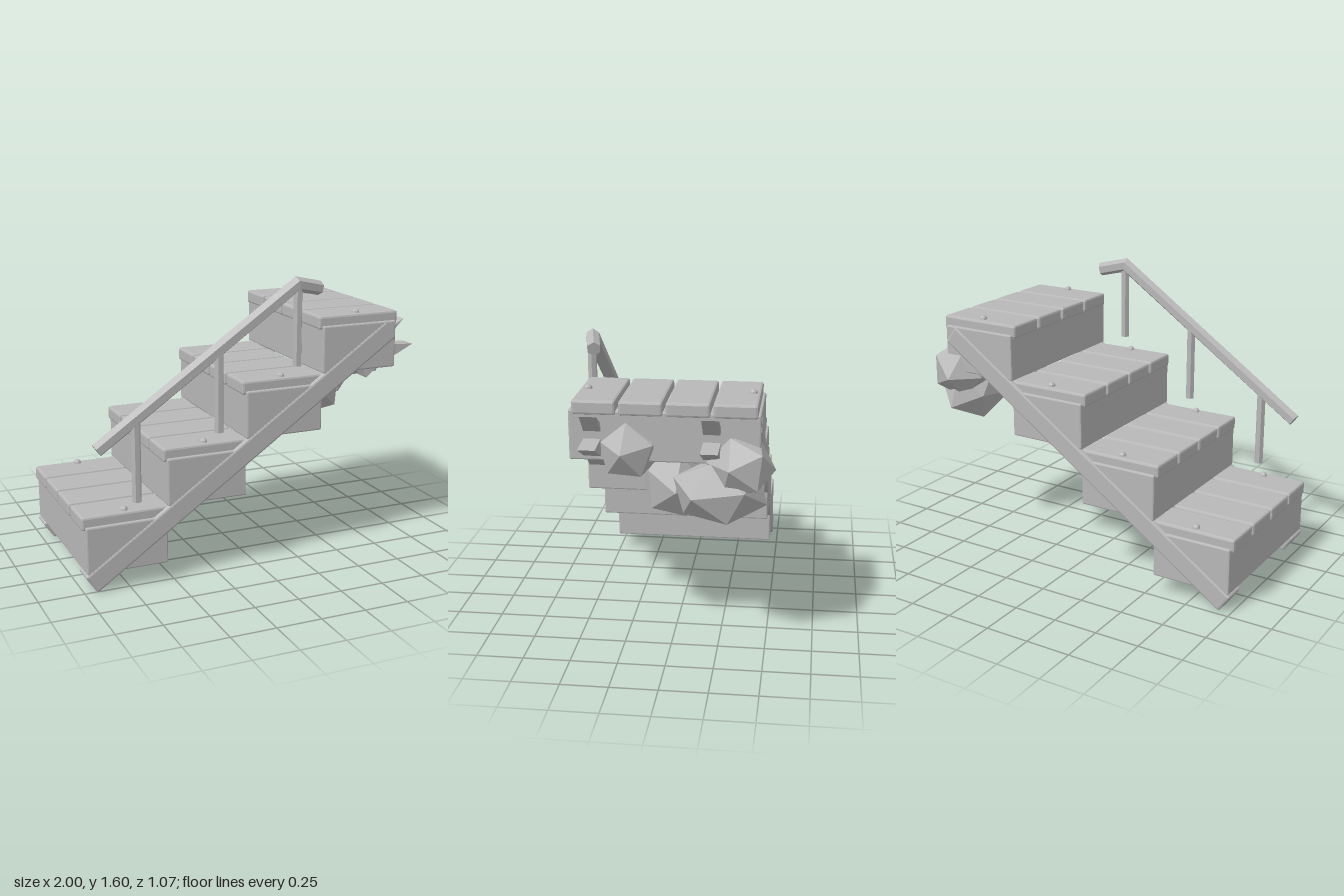
import * as THREE from 'three';
import { RoundedBoxGeometry } from 'three/addons/geometries/RoundedBoxGeometry.js';

export function createModel() {
  const model = new THREE.Group();
  const grey = new THREE.MeshStandardMaterial({ color: 0xb8b8b8 });
  grey.name = 'plainGrey';
  grey.flatShading = true;

  function add(name, geometry, x = 0, y = 0, z = 0) {
    const mesh = new THREE.Mesh(geometry, grey);
    mesh.name = name;
    mesh.position.set(x, y, z);
    model.add(mesh);
    return mesh;
  }
  const block = (w, h, d, r) => new RoundedBoxGeometry(w, h, d, 1, r);

  // Four steps: solid box, four planks on top, two rounded pegs
  const stepBox = block(0.452, 0.262, 0.97, 0.008);
  const plank = block(0.488, 0.074, 0.222, 0.012);
  const peg = new THREE.SphereGeometry(0.023, 8, 6);
  for (let i = 0; i < 4; i++) {
    const x = -0.757 + i * 0.455, y = i * 0.317;
    add('stepBox', stepBox, x, y + 0.234, 0.02);
    for (let j = 0; j < 4; j++) add('treadPlank', plank, x, y + 0.381, -0.339 + j * 0.238);
    for (const z of [-0.41, 0.443]) add('peg', peg, x, y + 0.417, z);
  }

  // Sloping side beams
  const slope = Math.atan2(1.22, 1.76);
  for (const z of [-0.401, 0.441]) {
    const beam = add('stringer', block(2.146, 0.117, 0.138, 0.012), -0.08, 0.657, z);
    beam.rotation.z = slope;
  }

  // Handrail: six-sided bar swept through a bend with a mitred corner
  const path = [[-0.911, 0.776, 0.492], [0.218, 1.558, 0.492], [0.372, 1.522, 0.457]]
    .map(p => new THREE.Vector3(...p));
  add('handrail', sweep(path, 0.039, 6));

  // Handrail posts
  for (const [x, bottom, top] of [[-0.7, 0.472, 0.91], [-0.232, 0.795, 1.23], [0.224, 1.115, 1.545]]) {
    const post = new THREE.CylinderGeometry(0.026, 0.026, top - bottom, 6).rotateY(Math.PI / 6);
    add('railPost', post, x, (bottom + top) / 2, 0.496);
  }

  // Pointed bracket ends behind and under the top step
  const wedges = [
    [[0.78, 1.22], [0.78, 1.15], [0.93, 1.307]],
    [[0.8, 1.17], [0.8, 1.06], [0.995, 1.155]],
    [[0.66, 1.075], [0.7, 0.985], [0.81, 1.075]],
  ];
  for (const z of [-0.264, 0.341]) {
    for (const points of wedges) {
      const shape = new THREE.Shape(points.map(p => new THREE.Vector2(...p)));
      add('bracketEnd', new THREE.ExtrudeGeometry(shape, { depth: 0.088, bevelEnabled: false }), 0, 0, z);
    }
  }

  // Faceted rocks under the top step
  const rocks = [
    { at: [0.77, 1.102, 0.208], size: [0.16, 0.168, 0.168], turn: [0.3, 0.4, 0.2] },
    { at: [0.6, 0.872, 0.0], size: [0.158, 0.2, 0.178], turn: [0.1, 0.7, 0] },
    { at: [0.79, 0.9, -0.26], size: [0.172, 0.184, 0.257], turn: [0.2, 0, 0.1] },
    { at: [0.805, 1.04, -0.366], size: [0.178, 0.172, 0.178], turn: [0.5, 0.2, 0.4] },
  ];
  for (const { at, size, turn } of rocks) {
    const rock = new THREE.IcosahedronGeometry(1, 0);
    rock.rotateX(turn[0]).rotateY(turn[1]).rotateZ(turn[2]).scale(...size);
    add('rock', rock, ...at);
  }
  return model;
}

// Closed bar of n sides along a polyline; inner rings lie on the bisecting plane
function sweep(path, radius, sides) {
  const pos = [], index = [], last = path.length - 1;
  const along = i => path[i + 1].clone().sub(path[i]).normalize();
  path.forEach((p, i) => {
    const before = along(Math.max(i - 1, 0)), after = along(Math.min(i, last - 1));
    const tangent = before.clone().add(after).normalize();
    const side = new THREE.Vector3().crossVectors(tangent, new THREE.Vector3(0, 1, 0)).normalize();
    const up = new THREE.Vector3().crossVectors(side, tangent);
    const stretch = 1 / tangent.dot(after);
    for (let k = 0; k < sides; k++) {
      const a = ((k + 0.5) / sides) * Math.PI * 2;
      const v = p.clone().addScaledVector(side, Math.cos(a) * radius)
        .addScaledVector(up, Math.sin(a) * radius * stretch);
      pos.push(v.x, v.y, v.z);
    }
  });
  for (let i = 0; i < last; i++) {
    for (let k = 0; k < sides; k++) {
      const a = i * sides + k, b = i * sides + (k + 1) % sides;
      index.push(a, a + sides, b, b, a + sides, b + sides);
    }
  }
  for (let k = 1; k < sides - 1; k++) {
    const e = last * sides;
    index.push(0, k, k + 1, e, e + k + 1, e + k);
  }
  const geometry = new THREE.BufferGeometry();
  geometry.setAttribute('position', new THREE.Float32BufferAttribute(pos, 3));
  geometry.setIndex(index);
  const flat = geometry.toNonIndexed();
  flat.computeVertexNormals();
  return flat;
}
